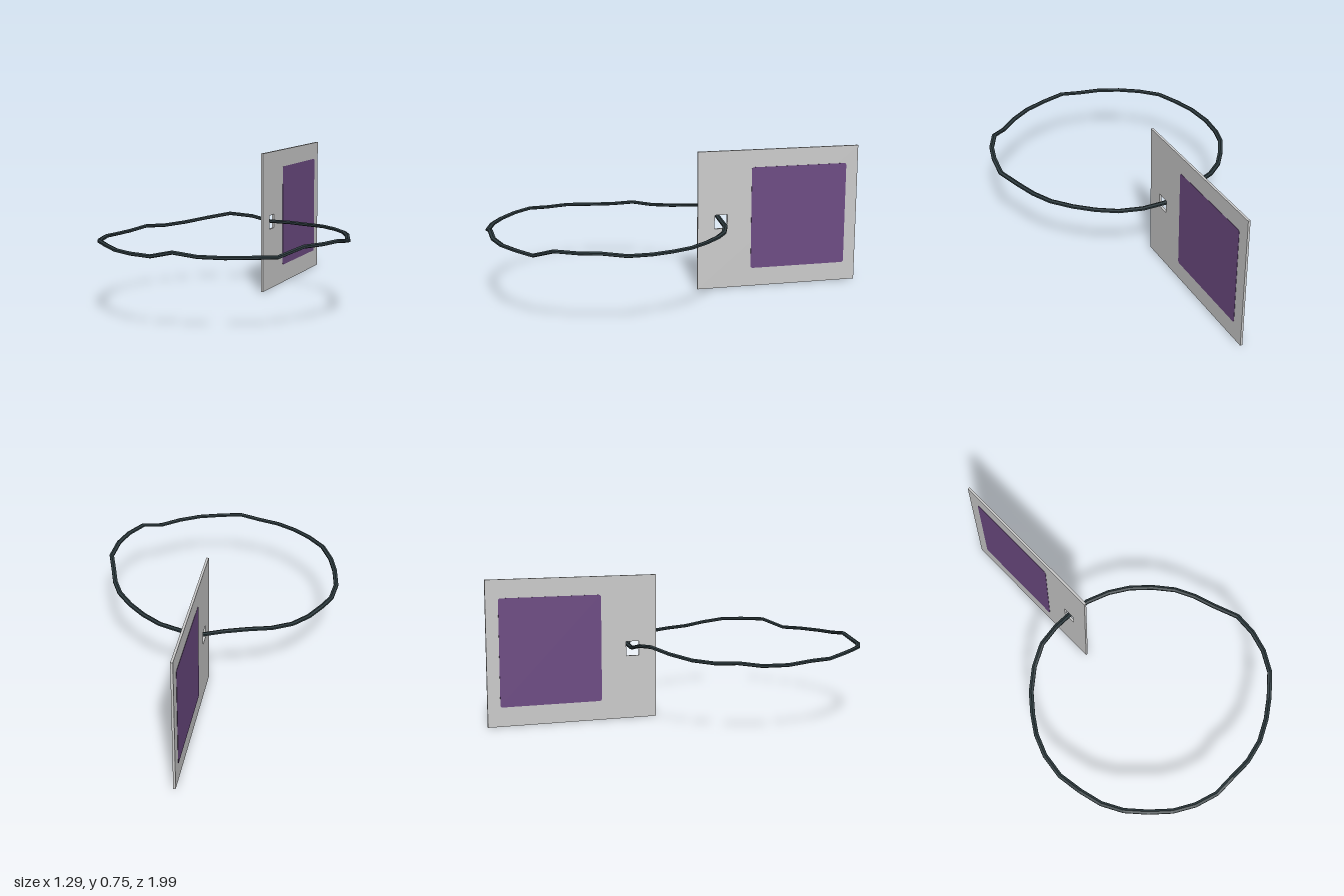
import * as THREE from 'three';

const cardMat = new THREE.MeshStandardMaterial({ color: 0xcccccc });
cardMat.name = 'light grey card';
const panelMat = new THREE.MeshStandardMaterial({ color: 0x6e4c84 });
panelMat.name = 'purple panel';
const cordMat = new THREE.MeshStandardMaterial({ color: 0x2c393d, flatShading: true });
cordMat.name = 'dark cord';

// Upright slab in the YZ plane: u runs backwards (-z), thickness runs along x
function slab(name, shape, x, thickness, material) {
  const geo = new THREE.ExtrudeGeometry(shape, { depth: thickness, bevelEnabled: false, curveSegments: 4 });
  geo.rotateY(Math.PI / 2).translate(x, 0, 0);
  const mesh = new THREE.Mesh(geo, material);
  mesh.name = name;
  return mesh;
}

function roundedRect(u0, y0, u1, y1, r) {
  const s = new THREE.Shape();
  s.absarc(u1 - r, y0 + r, r, -Math.PI / 2, 0);
  s.absarc(u1 - r, y1 - r, r, 0, Math.PI / 2);
  s.absarc(u0 + r, y1 - r, r, Math.PI / 2, Math.PI);
  s.absarc(u0 + r, y0 + r, r, Math.PI, Math.PI * 1.5);
  s.closePath();
  return s;
}

function rectPoints(u0, y0, u1, y1) {
  return [[u0, y0], [u1, y0], [u1, y1], [u0, y1]].map(([u, y]) => new THREE.Vector2(u, y));
}

// Closed faceted loop with an oval section swept through the points
function cordLoop(points, halfWidth, halfHeight, sides) {
  const n = points.length, pos = [], index = [];
  const up = new THREE.Vector3(0, 1, 0);
  points.forEach((p, i) => {
    const tangent = points[(i + 1) % n].clone().sub(points[(i + n - 1) % n]).normalize();
    const out = up.clone().cross(tangent).normalize();
    const normal = tangent.clone().cross(out);
    for (let j = 0; j < sides; j++) {
      const a = (j / sides) * Math.PI * 2 + Math.PI / sides;
      const v = p.clone().addScaledVector(out, Math.cos(a) * halfWidth).addScaledVector(normal, Math.sin(a) * halfHeight);
      pos.push(v.x, v.y, v.z);
      const k = (j + 1) % sides, next = (i + 1) % n;
      const A = i * sides + j, B = i * sides + k, C = next * sides + k, D = next * sides + j;
      index.push(A, B, C, A, C, D);
    }
  });
  const geo = new THREE.BufferGeometry();
  geo.setAttribute('position', new THREE.Float32BufferAttribute(pos, 3));
  geo.setIndex(index);
  geo.computeVertexNormals();
  return geo;
}

export function createModel() {
  const group = new THREE.Group();
  group.name = 'hangTag';

  // Card with a small square hole near its front edge
  const card = new THREE.Shape(rectPoints(0.11, 0, 1, 0.75));
  card.holes.push(new THREE.Path(rectPoints(0.203, 0.33, 0.272, 0.405)));
  group.add(slab('card', card, -0.014, 0.012, cardMat));

  // Printed panel on both faces
  const panel = roundedRect(0.405, 0.1, 0.935, 0.655, 0.012);
  group.add(slab('panelLeft', panel, -0.002, 0.0015, panelMat));
  group.add(slab('panelRight', panel, -0.0155, 0.0015, panelMat));

  // Cord path, split in two halves: from the hole round the left, then back round the right
  const leftHalf = [
    [-0.01, 0.37, -0.24], [0.11, 0.37, -0.23], [0.23, 0.37, -0.19], [0.33, 0.375, -0.13],
    [0.42, 0.377, -0.05], [0.5, 0.378, 0.045], [0.55, 0.38, 0.145], [0.587, 0.382, 0.26],
    [0.63, 0.394, 0.385], [0.617, 0.41, 0.505], [0.585, 0.41, 0.615], [0.525, 0.41, 0.72],
    [0.435, 0.37, 0.81], [0.34, 0.373, 0.88], [0.23, 0.374, 0.94], [0.11, 0.377, 0.972],
  ];
  const rightHalf = [
    [-0.01, 0.39, 0.978], [-0.12, 0.366, 0.982], [-0.24, 0.366, 0.95], [-0.345, 0.367, 0.895],
    [-0.44, 0.372, 0.815], [-0.525, 0.372, 0.725], [-0.582, 0.36, 0.62], [-0.615, 0.36, 0.5],
    [-0.635, 0.35, 0.37], [-0.62, 0.35, 0.24], [-0.58, 0.363, 0.13], [-0.52, 0.357, 0.035],
    [-0.445, 0.365, -0.06], [-0.345, 0.385, -0.145], [-0.235, 0.406, -0.205], [-0.115, 0.395, -0.23],
  ];
  const path = [...leftHalf, ...rightHalf].map((p) => new THREE.Vector3(...p));
  const cord = new THREE.Mesh(cordLoop(path, 0.014, 0.0095, 6), cordMat);
  cord.name = 'cord';
  group.add(cord);

  return group;
}
